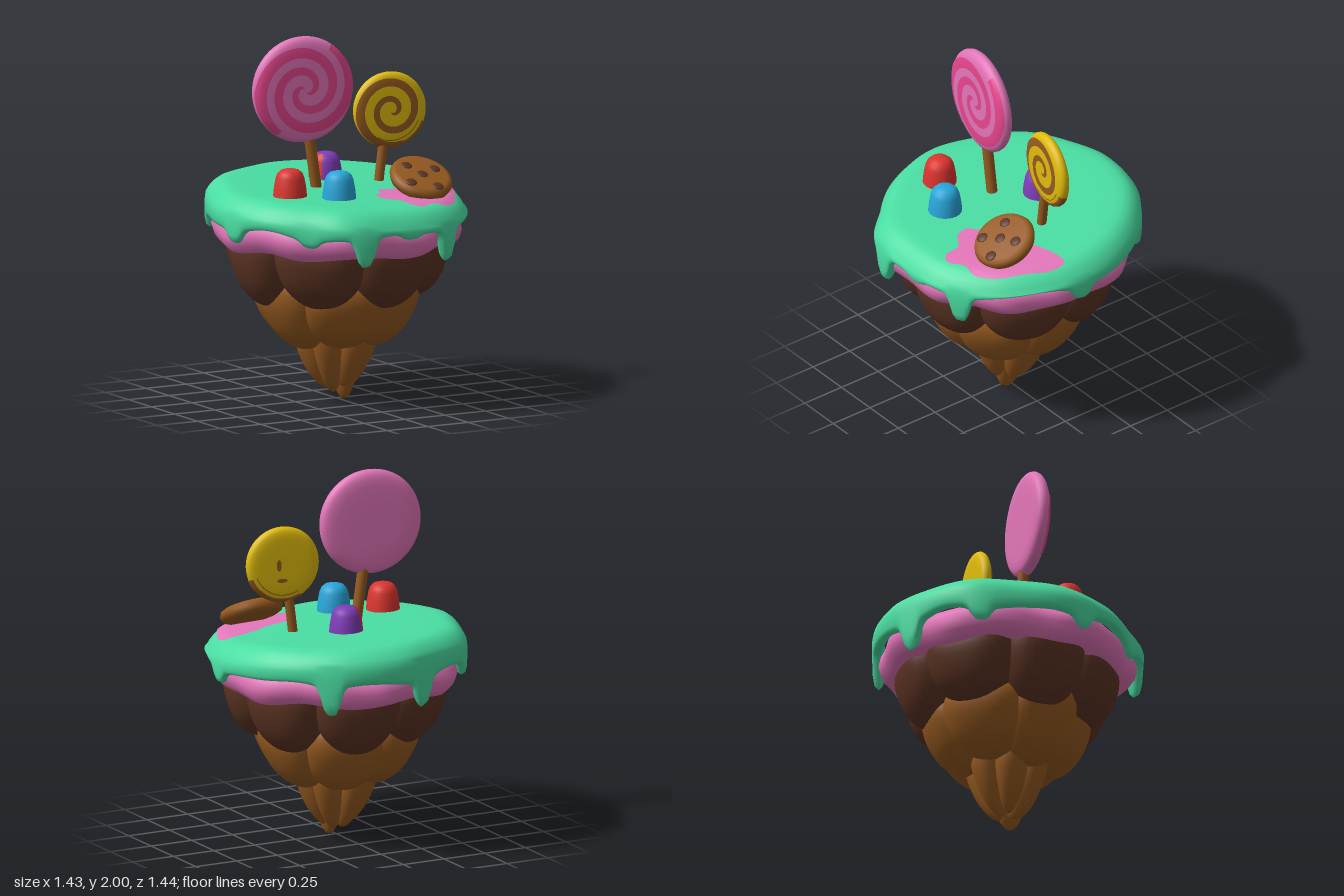
import * as THREE from 'three';
import { mergeVertices } from 'three/addons/utils/BufferGeometryUtils.js';

const mat = (name, color) => {
  const m = new THREE.MeshStandardMaterial({ color });
  m.name = name;
  return m;
};

// Uneven outline radius of the cake, sampled every 22.5 degrees from +x towards +z
const OUTLINE = [.71, .70, .71, .71, .703, .735, .69, .70, .712, .69, .715, .70, .72, .72, .71, .71];
function outline(a) {
  const n = OUTLINE.length;
  const f = (((a / (2 * Math.PI)) % 1) + 1) % 1 * n;
  const i = Math.floor(f), k = (1 - Math.cos((f - i) * Math.PI)) / 2;
  return OUTLINE[i % n] * (1 - k) + OUTLINE[(i + 1) % n] * k;
}

// Height of the icing's upper surface, sagging at the front left and rounding off at the rim
function topHeight(x, z) {
  const t = Math.hypot(x, z) / outline(Math.atan2(z, x));
  const sag = .06 * Math.max(0, (x + z) * .707 - .2);
  return 1.168 - .05 * z - .012 * x - sag - .085 * Math.max(0, (t - .8) / .2) ** 3;
}

// Drips: x, z direction, depth below the skirt
const DRIPS = [[-.2, .68, .14], [.35, .6, .15], [.36, -.6, .15], [-.17, -.68, .13],
  [-.54, -.44, .06], [-.69, .11, .06], [.69, .04, .06], [-.46, .52, .03], [.08, .7, .02]];
function skirtHeight(a) {
  let y = 1.01 + .012 * Math.sin(a * 5);
  for (const [x, z, depth] of DRIPS) {
    const d = Math.atan2(z, x) - a;
    const w = Math.abs(Math.atan2(Math.sin(d), Math.cos(d)));
    y -= depth * Math.exp(-((w / .085) ** 4)) + .035 * Math.exp(-((w / .2) ** 2));
  }
  return y;
}

function build(pos, idx) {
  const g = new THREE.BufferGeometry();
  g.setAttribute('position', new THREE.Float32BufferAttribute(pos, 3));
  g.setIndex(idx);
  g.computeVertexNormals();
  return g;
}

// Closed rings joined from the top outwards and down; point(row, angle) gives [x, y, z]
function loft(rows, n, point) {
  const pos = [], idx = [];
  for (let i = 0; i < rows; i++)
    for (let j = 0; j < n; j++) pos.push(...point(i, j / n * Math.PI * 2));
  for (let i = 0; i < rows - 1; i++)
    for (let j = 0; j < n; j++) {
      const a = i * n + j, c = i * n + (j + 1) % n;
      idx.push(a, c, a + n, c, c + n, a + n);
    }
  return build(pos, idx);
}

function icingGeometry() {
  const tops = [.001, .3, .45, .6, .7, .8, .86, .91, .95, .98, 1];
  // [radius offset, share of the way from rim to drip end]
  const sides = [[.006, .25], [.006, .5], [.004, .75], [-.004, .92], [-.025, 1], [-.046, .92], [-.055, .6], [-.06, .1]];
  return loft(tops.length + sides.length, 200, (i, a) => {
    const R = outline(a), c = Math.cos(a), s = Math.sin(a);
    if (i < tops.length) {
      const r = R * tops[i];
      return [c * r, topHeight(c * r, s * r), s * r];
    }
    const [dr, k] = sides[i - tops.length];
    const y0 = topHeight(c * R, s * R);
    return [c * (R + dr), y0 + (skirtHeight(a) - y0) * k, s * (R + dr)];
  });
}

function creamGeometry() {
  const profile = [[.5, 1.06], [.62, 1.05], [.67, 1.0], [.68, .95], [.665, .9], [.63, .865], [.57, .85], [.45, .875]];
  return loft(profile.length, 120, (i, a) => {
    const r = profile[i][0] * outline(a) / .71 + .01 * Math.sin(a * 11);
    return [Math.cos(a) * r, profile[i][1] + .014 * Math.sin(a * 7 + 1), Math.sin(a) * r];
  });
}

// Spilled cream that follows the icing's top
function puddleGeometry() {
  const edge = [[.62, .1], [.62, .19], [.56, .31], [.48, .45], [.38, .53], [.3, .53], [.21, .58], [.16, .55], [.15, .46],
    [.07, .4], [.06, .33], [.11, .29], [.14, .22], [.23, .21], [.34, .18], [.43, .13]];
  const curve = new THREE.CatmullRomCurve3(edge.map(([x, z]) => new THREE.Vector3(x, 0, z)), true);
  return loft(9, 80, (i, a) => {
    const p = curve.getPoint(a / (2 * Math.PI)), k = Math.max(i / 8, .001);
    const x = .34 + (p.x - .34) * k, z = .33 + (p.z - .33) * k;
    return [x, topHeight(x, z) + .008, z];
  });
}

// Rounded block narrowing towards its lower end
function chunkGeometry(w, h, d, taper, power) {
  const g = new THREE.SphereGeometry(1, 28, 20);
  g.deleteAttribute('uv');
  g.deleteAttribute('normal');
  const p = g.attributes.position;
  const soft = v => Math.sign(v) * Math.abs(v) ** power;
  for (let i = 0; i < p.count; i++) {
    const y = p.getY(i), k = taper * (.5 - .5 * y);
    p.setXYZ(i, soft(p.getX(i)) * w * (1 - k), soft(y) * h, soft(p.getZ(i)) * d * (1 - k * .4));
  }
  const m = mergeVertices(g, 1e-4);
  m.computeVertexNormals();
  return m;
}

const lathe = (pts, seg = 48, start = 0, len = Math.PI * 2) =>
  new THREE.LatheGeometry(pts.map(p => new THREE.Vector2(...p)), seg, start, len);

// Half thickness of a domed candy disc at radius r
const dome = (r, R, half) => half * Math.sqrt(Math.max(0, 1 - (r / R) ** 9));

// Spiral band winding outwards over the domed face
function spiralGeometry(R, half, reach, endAngle, turns, width) {
  const pos = [], idx = [], n = 110, across = 5;
  for (let i = 0; i <= n; i++) {
    const s = i / n, a = endAngle - (1 - s) * turns * 2 * Math.PI;
    const r = .012 + (reach - .012) * s, w = width * (.6 + .6 * s) * Math.min(1, .3 + s * 5);
    const lo = Math.max(r - w, .001), hi = Math.min(r + w, reach);
    for (let k = 0; k <= across; k++) {
      const q = lo + (hi - lo) * k / across;
      pos.push(Math.cos(a) * (q + .001), Math.sin(a) * (q + .001), dome(q, R, half) + .004);
      const v = i * (across + 1) + k, u = v + across + 1;
      if (i < n && k < across) idx.push(v, v + 1, u + 1, v, u + 1, u);
    }
  }
  return build(pos, idx);
}

export function createModel() {
  const model = new THREE.Group();
  const mint = mat('mint icing', 0x4adda2), pink = mat('pink cream', 0xe476ba), hotPink = mat('hot pink', 0xe8468e);
  const dark = mat('dark chocolate', 0x5c3423), brown = mat('caramel brown', 0x965a20), yellow = mat('yellow candy', 0xe0bc0a);
  const red = mat('red candy', 0xdc352e), blue = mat('blue candy', 0x28a6da), purple = mat('purple candy', 0x803cb8);
  const add = (parent, name, geometry, material, x = 0, y = 0, z = 0) => {
    const m = new THREE.Mesh(geometry, material);
    m.name = name;
    m.position.set(x, y, z);
    parent.add(m);
    return m;
  };

  // Icing and cream
  add(model, 'icing', icingGeometry(), mint);
  add(model, 'creamLayer', creamGeometry(), pink);
  add(model, 'creamPuddle', puddleGeometry(), pink);

  // Solid middle behind the blocks
  add(model, 'upperCore', lathe([[.3, .68], [.4, .72], [.54, .9], [0, .95]]), dark);
  add(model, 'lowerCore', lathe([[0, .1], [.06, .15], [.18, .35], [.33, .6], [.36, .7], [0, .72]]), brown);

  // Rows of tilted blocks
  const row = (name, material, count, offset, radius, y, tilt, [w, h, d, taper, power]) => {
    for (let i = 0; i < count; i++) {
      const a = offset + i / count * Math.PI * 2, v = 1 + .06 * Math.sin(i * 2.4);
      const m = add(model, name, chunkGeometry(w * v, h * (2 - v), d, taper, power), material,
        Math.cos(a) * radius, y, Math.sin(a) * radius);
      m.rotation.set(tilt, Math.PI / 2 - a, 0, 'YXZ');
    }
  };
  row('darkBlock', dark, 7, 1.37, .412, .785, .25, [.3, .24, .2, .42, .86]);
  row('caramelBlock', brown, 6, .89, .265, .53, .45, [.265, .235, .175, .35, .88]);
  row('caramelShard', brown, 6, .3, .11, .255, .36, [.11, .215, .1, .52, .95]);
  add(model, 'caramelTip', chunkGeometry(.1, .2, .1, .5, .95), brown, .03, .2, .03);

  // Lollipops: domed disc with spirals on the front
  const lollipop = (name, x, y, z, R, half, turn, candy, swirl, spirals) => {
    const g = new THREE.Group();
    g.name = name;
    g.position.set(x, y, z);
    g.rotation.y = turn;
    const radii = [0, .25, .5, .7, .82, .9, .95, .985, 1].map(q => q * R);
    const front = radii.map(r => [r, dome(r, R, half)]);
    const back = front.map(([r, h]) => [r, -h]).slice(0, -1);
    add(g, 'candyDisc', lathe([...back, ...front.reverse()], 64).rotateX(Math.PI / 2), candy);
    for (const s of spirals) add(g, 'swirl', spiralGeometry(R, half, ...s), swirl);
    model.add(g);
    return g;
  };
  lollipop('largeLollipop', -.215, 1.71, .013, .29, .046, -.14, pink, hotPink,
    [0, Math.PI].map(a => [.286, a + 1, 1.35, .028]));
  const small = lollipop('smallLollipop', .337, 1.547, -.01, .207, .036, -.17, yellow, brown,
    [[.203, -1.2, 2.1, .021]]);
  // Caramel on the lower rim and two smears on the back
  const rim = [-.95, -.7, -.35, 0, .35, .7, .95].map(k => [.207 * (1 - k * k) ** (1 / 9) + .004, k * .036]);
  add(small, 'swirlRim', lathe(rim, 28, -.5, 1.7).rotateX(Math.PI / 2), brown);
  for (const [x, y, w, h] of [[.03, 0, .014, .032], [.012, -.085, .03, .011]]) {
    const smear = add(small, 'swirlSmear', new THREE.CircleGeometry(1, 16), brown, x, y, -.038);
    smear.scale.set(w, h, 1);
    smear.rotation.y = Math.PI;
  }

  const stick = (x0, y0, x1, y1, z, r) => {
    const m = add(model, 'lollipopStick', new THREE.CylinderGeometry(r, r, Math.hypot(x1 - x0, y1 - y0), 16), brown,
      (x0 + x1) / 2, (y0 + y1) / 2, z);
    m.rotation.z = -Math.atan2(x1 - x0, y1 - y0);
  };
  stick(-.125, 1.14, -.175, 1.47, .012, .03);
  stick(.27, 1.13, .305, 1.4, -.014, .026);

  // Gumdrops
  const drop = [[.092, 0], [.087, .05], [.078, .1], [.068, .125], [.05, .142], [.025, .149], [0, .15]];
  for (const [name, material, x, y, z] of [['redGumdrop', red, -.382, 1.165, .172],
    ['blueGumdrop', blue, -.156, 1.155, .31], ['purpleGumdrop', purple, .04, 1.167, -.182]])
    add(model, name, lathe(drop, 32), material, x, y, z);
  add(model, 'gumdropRedSide', lathe(drop.slice(0, 5).map(([r, y]) => [r + .002, y]), 14, -2.45, 1.7), red, .04, 1.167, -.182);

  // Cookie with chocolate chips
  const cookie = new THREE.Group();
  cookie.name = 'cookie';
  cookie.position.set(.355, 1.217, .302);
  cookie.rotation.x = .5;
  add(cookie, 'cookieBase', lathe([[0, -.038], [.14, -.038], [.164, -.027], [.174, 0], [.164, .024], [.14, .035], [0, .038]], 40), brown);
  for (const [x, z] of [[-.06, -.075], [.088, -.025], [-.005, .01], [-.1, .065], [.037, .12]])
    add(cookie, 'chocolateChip', new THREE.SphereGeometry(.031, 14, 10), dark, x, .035, z).scale.y = .3;
  model.add(cookie);

  return model;
}
